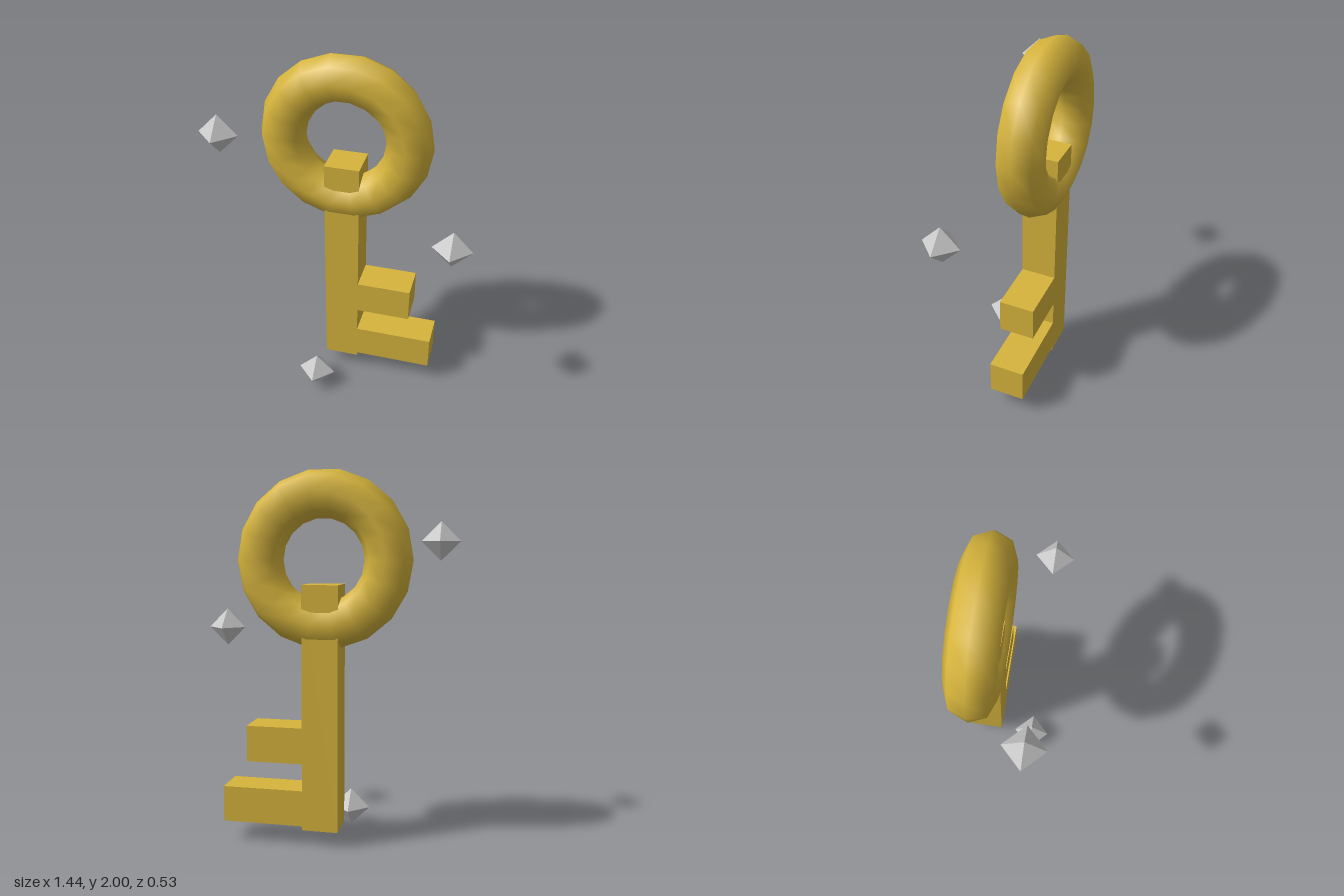
import * as THREE from 'three';

export function createModel() {
  const gold = new THREE.MeshStandardMaterial({ color: 0xd6b43c });
  gold.name = 'gold';
  const silver = new THREE.MeshStandardMaterial({ color: 0xc8c8c8 });
  silver.name = 'silver';

  const model = new THREE.Group();
  model.name = 'keyWithGems';
  const add = (name, geometry, material, x, y, z) => {
    const mesh = new THREE.Mesh(geometry, material);
    mesh.name = name;
    mesh.position.set(x, y, z);
    model.add(mesh);
  };

  const keyZ = -0.137;

  // Ring-shaped handle: 18 steps round, octagonal tube, smooth normals
  add('ringHandle', new THREE.TorusGeometry(0.345, 0.127, 8, 18), gold, -0.026, 1.54, keyZ);

  // Shaft and its two teeth as one extruded outline
  const outline = [
    [-0.122, 0.09], [0.072, 0.09], [0.072, 0.112], [0.515, 0.112], [0.515, 0.308],
    [0.072, 0.308], [0.072, 0.457], [0.378, 0.457], [0.378, 0.653], [0.072, 0.653],
    [0.072, 1.413], [-0.122, 1.413],
  ].map(([x, y]) => new THREE.Vector2(x, y));
  const depth = 0.195;
  const shaft = new THREE.ExtrudeGeometry(new THREE.Shape(outline), { depth, bevelEnabled: false });
  add('shaftWithTeeth', shaft, gold, 0, 0, keyZ - depth / 2);

  // Small floating gems (polyhedra are flat shaded at detail 0)
  const gem = new THREE.OctahedronGeometry(0.107);
  [[-0.616, 1.64], [0.614, 1.147], [-0.125, 0.11]].forEach(([x, y], i) => {
    add('gem' + (i + 1), gem, silver, x, y, 0.158);
  });

  return model;
}
